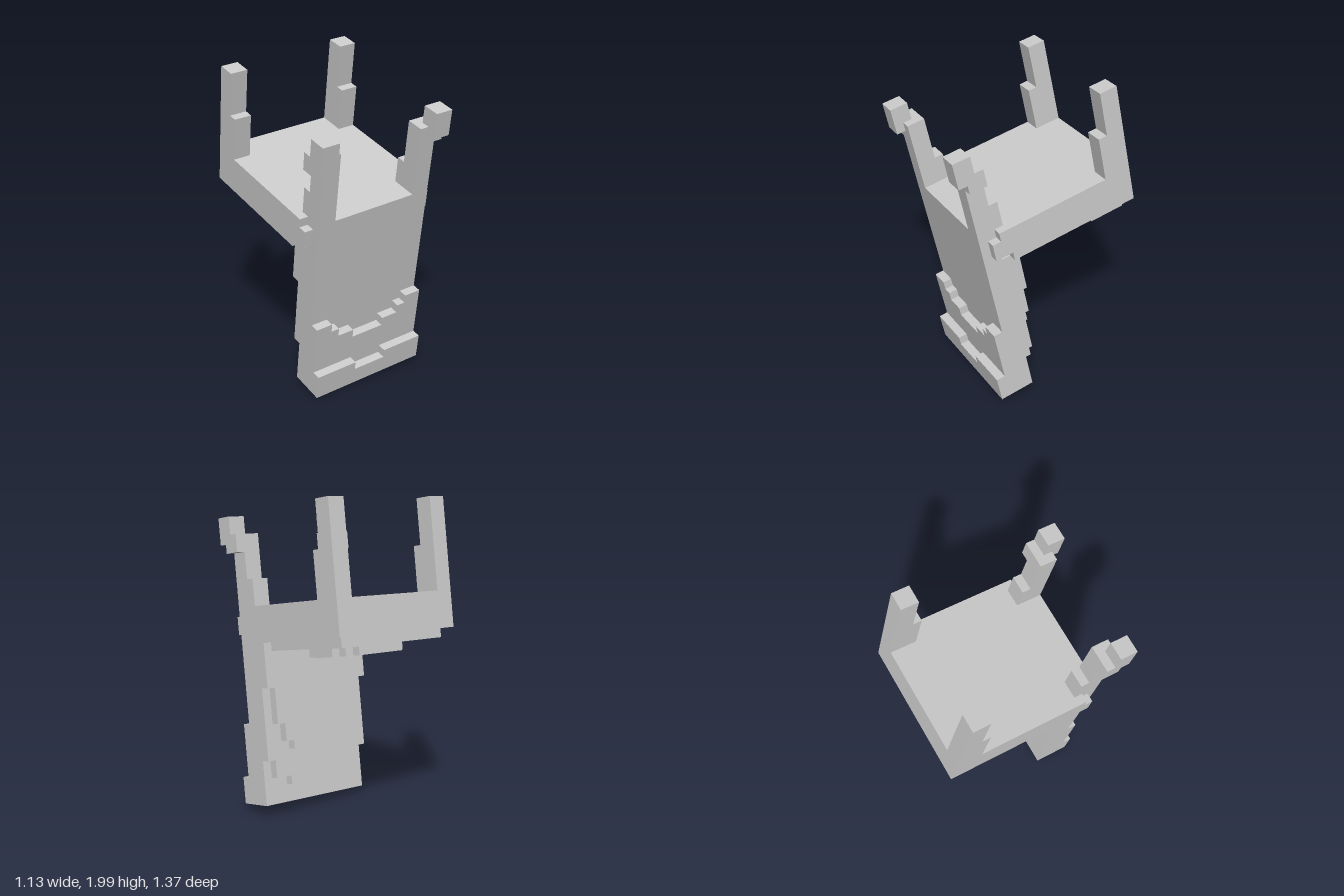
import * as THREE from 'three';

const material = new THREE.MeshStandardMaterial({ color: 0xcccccc, flatShading: true });

// Box between two corners, in whole grid units
function box(parent, name, x0, x1, y0, y1, z0, z1) {
  const mesh = new THREE.Mesh(new THREE.BoxGeometry(x1 - x0, y1 - y0, z1 - z0), material);
  mesh.position.set((x0 + x1) / 2, (y0 + y1) / 2, (z0 + z1) / 2);
  mesh.name = name;
  parent.add(mesh);
}

// Panel one unit thick: flat edge at yFlat, opposite edge stepped and symmetric.
// steps = [half width, height] from the outer step to the middle one
function steppedPanel(parent, name, yFlat, steps, z) {
  const half = [[steps[0][0], yFlat]];
  steps.forEach(([w, y], i) => {
    half.push([w, y]);
    if (i + 1 < steps.length) half.push([steps[i + 1][0], y]);
  });
  const mirrored = half.map(([x, y]) => [-x, y]).reverse();
  const shape = new THREE.Shape([...half, ...mirrored].map(([x, y]) => new THREE.Vector2(x, y)));
  const mesh = new THREE.Mesh(new THREE.ExtrudeGeometry(shape, { depth: 1, bevelEnabled: false }), material);
  mesh.position.z = z;
  mesh.name = name;
  parent.add(mesh);
}

export function createModel() {
  const model = new THREE.Group();
  model.name = 'blockFigure';
  const body = new THREE.Group();
  body.name = 'tiltedBody';
  model.add(body);

  // Upright front panel with stepped layers on both faces
  box(body, 'panelCore', -7, 7, -18, 4, 16, 18);
  steppedPanel(body, 'frontLayerUpper', -18, [[7, -9], [5, -10], [4, -11], [2, -12]], 18);
  steppedPanel(body, 'frontLayerLower', -18, [[7, -15], [2, -16]], 19);
  steppedPanel(body, 'backLayerLower', 0, [[7, -13], [6, -15], [4, -16]], 15);
  steppedPanel(body, 'backLayerUpper', 0, [[7, -5], [6, -9], [5, -11], [4, -12]], 14);

  // Horizontal slab
  box(body, 'slab', -8, 8, 0, 4, 0, 15);
  box(body, 'slabFrontEdge', -8, 8, 1, 4, 15, 16);

  // Layers under the slab
  box(body, 'underLayerBack', -7, 7, -1, 0, 1, 5);
  box(body, 'underLayerFront', -6, 6, -1, 0, 5, 14);
  box(body, 'underPadLong', -3, 3, -2, -1, 3, 11);
  for (const s of [-1, 1]) {
    const side = (name, a, b, ...rest) =>
      box(body, name, Math.min(s * a, s * b), Math.max(s * a, s * b), ...rest);
    side('underPadMiddle', 3, 4, -2, -1, 4, 10);
    side('underPadWide', 4, 5, -2, -1, 5, 8);

    // Corner knob
    side('cornerKnob', 7, 8, 1, 3, 16, 17);

    // Back post
    side('backPost', 6, 8, 4, 14, 0, 2);
    side('backPostStep', 6, 8, 4, 9, 2, 3);

    // Front post with its offset tip
    side('frontPost', 5, 7, 4, 12, 16, 18);
    side('frontPostFoot', 5, 7, 4, 7, 15, 16);
    side('frontPostShoulder', 7, 8, 10, 12, 16, 18);
    side('frontPostTip', 6, 8, 11, 14, 17, 19);
  }

  // Grid unit, tilt and placement
  body.scale.setScalar(0.0555);
  body.rotation.set(0.195, 0.255, 0);
  body.position.set(-0.138, 1.214, -0.578);
  return model;
}
